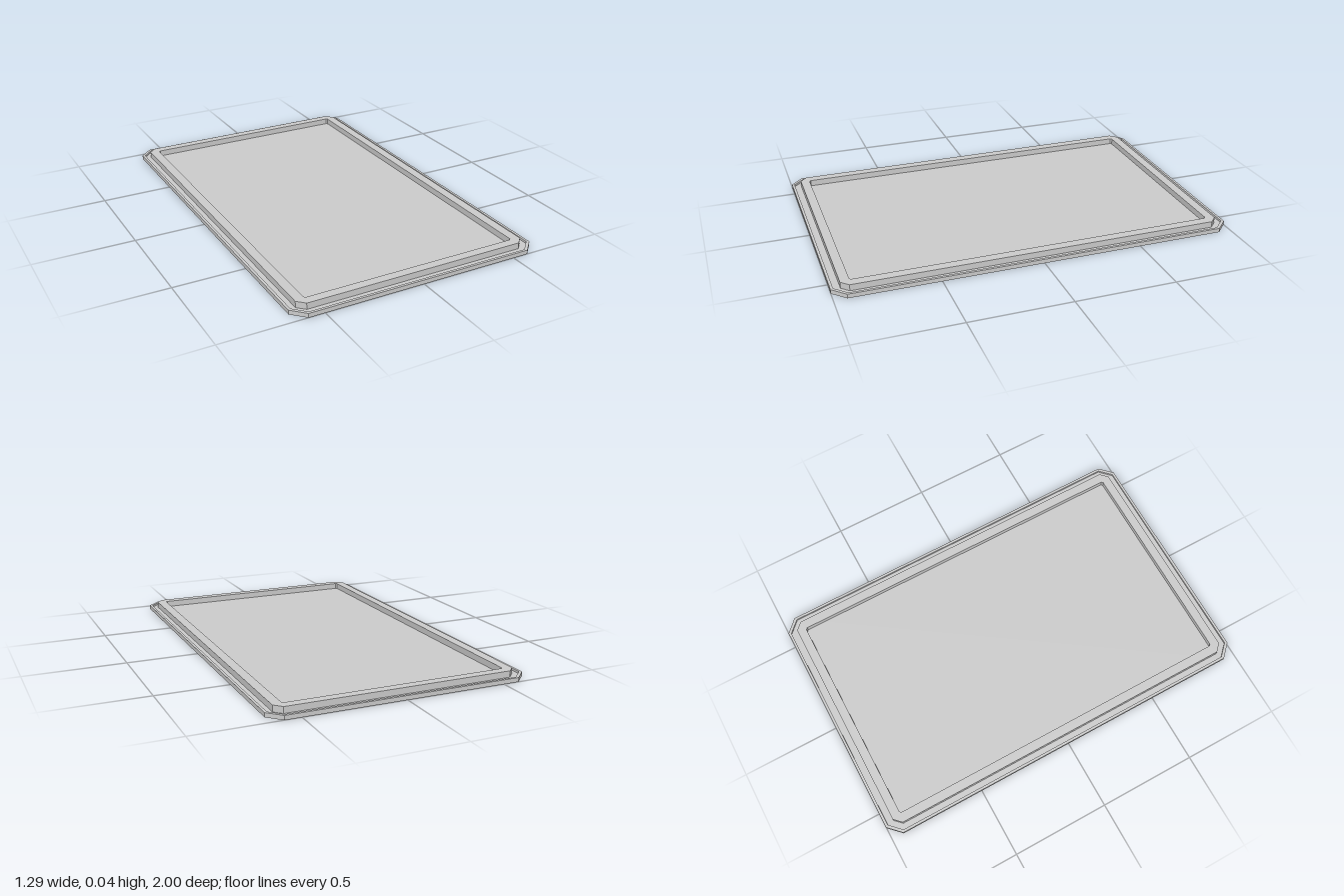
import * as THREE from 'three';

// Rectangle outline with cut corners, half sizes w and d
function outline(Type, w, d, c) {
  return new Type([
    [w - c, -d], [w, -d + c], [w, d - c], [w - c, d],
    [-w + c, d], [-w, d - c], [-w, -d + c], [-w + c, -d],
  ].map(([x, y]) => new THREE.Vector2(x, y)));
}

// Flat slab or ring from y0 to y1; outer and inner are [w, d, cut]
function slab(name, outer, inner, y0, y1) {
  const shape = outline(THREE.Shape, ...outer);
  if (inner) shape.holes.push(outline(THREE.Path, ...inner));
  const geometry = new THREE.ExtrudeGeometry(shape, { depth: y1 - y0, bevelEnabled: false });
  geometry.rotateX(-Math.PI / 2);
  geometry.translate(0, y0, 0);
  const mesh = new THREE.Mesh(geometry, new THREE.MeshStandardMaterial({ color: 0xcccccc, flatShading: true }));
  mesh.name = name;
  return mesh;
}

export function createModel() {
  const group = new THREE.Group();
  group.name = 'tray';
  const edge = [0.643, 1, 0.063];
  // Thin floor under everything
  group.add(slab('floor', edge, null, 0, 0.01));
  // Low lip around the edge, with a narrow channel inside it
  group.add(slab('outerLip', edge, [0.63, 0.987, 0.058], 0.01, 0.021));
  // Taller frame around the recessed panel
  group.add(slab('raisedFrame', [0.6, 0.953, 0.036], [0.553, 0.908, 0.008], 0.01, 0.041));
  return group;
}
